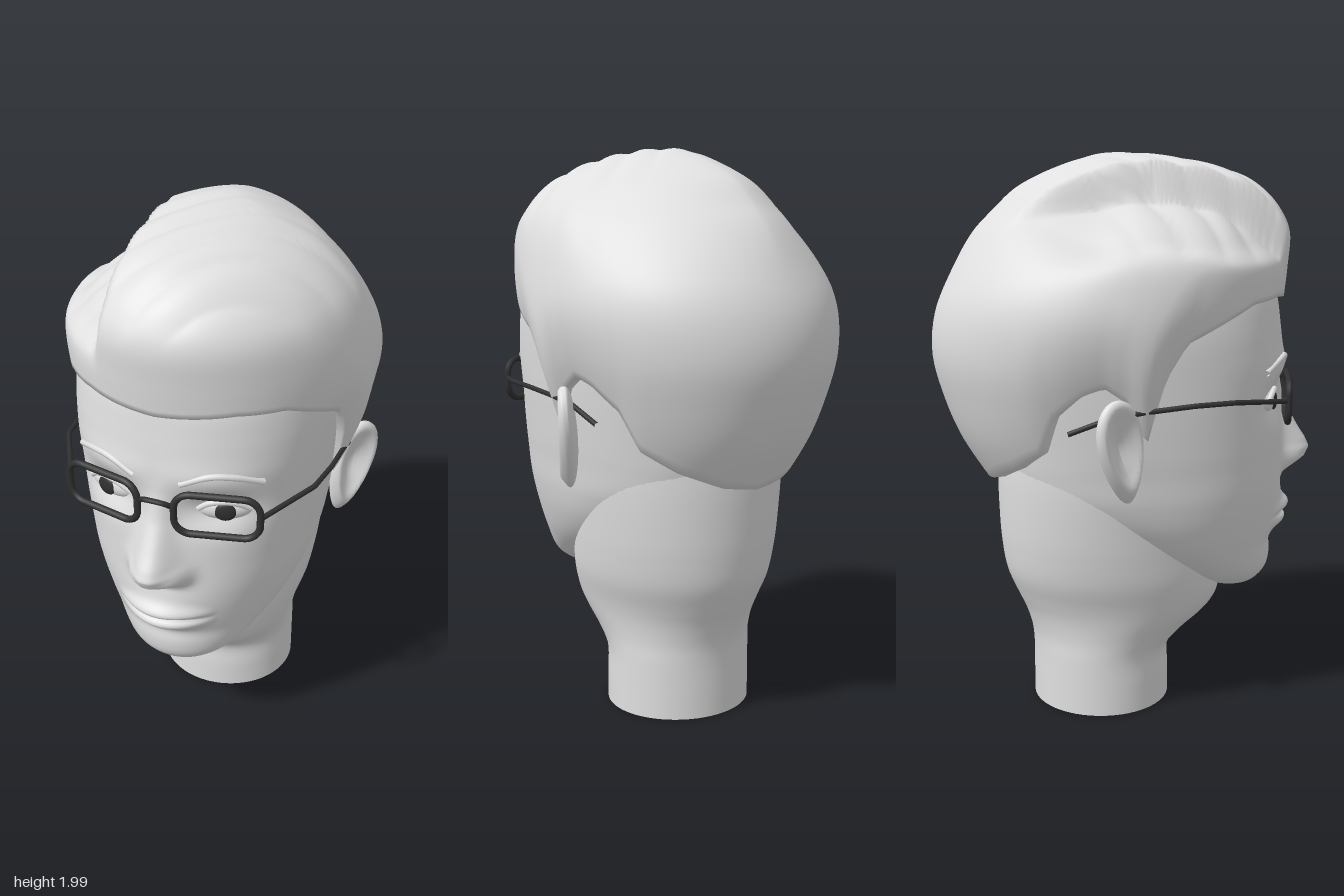
import * as THREE from 'three';

const paint = (name, color, side = THREE.FrontSide) => {
  const m = new THREE.MeshStandardMaterial({ color, side });
  m.name = name;
  return m;
};
const bell = (d, s) => Math.exp(-0.5 * (d / s) ** 2);
const smooth = THREE.MathUtils.smoothstep;
const V = (x, y, z) => new THREE.Vector3(x, y, z);

// Straight-line lookup in a table of [key, value] rows.
function lookup(table, k) {
  let i = 0;
  while (i < table.length - 2 && k > table[i + 1][0]) i++;
  const [a, b] = [table[i], table[i + 1]];
  const s = THREE.MathUtils.clamp((k - a[0]) / (b[0] - a[0]), 0, 1);
  return a[1] + (b[1] - a[1]) * s;
}

// Smooth section [y, halfWidth, frontZ, backZ] at u = 0..1 up a list of sections.
function section(rows, u) {
  const n = rows.length - 1, k = u * n, i = Math.min(Math.floor(k), n - 1), s = k - i;
  const at = (j) => rows[THREE.MathUtils.clamp(j, 0, n)];
  return rows[i].map((b, m) => {
    const a = at(i - 1)[m], c = at(i + 1)[m], d = at(i + 2)[m];
    return 0.5 * (2 * b + (c - a) * s + (2 * a - 5 * b + 4 * c - d) * s * s + (3 * b - a - 3 * c + d) * s ** 3);
  });
}

// Point on a section; angle 0 is the front, growing towards +x.
function sectionPoint([y, w, f, b], angle, power = 1, scale = 1) {
  const bend = (v) => Math.sign(v) * Math.abs(v) ** power;
  const c = (f + b) / 2;
  return V(w * bend(Math.sin(angle)) * scale, y, c + (f - c) * bend(Math.cos(angle)) * scale);
}

// Closed-around grid surface from a point rule (angle, ring).
function gridSurface(segs, rings, crowd, rule) {
  const pos = [], idx = [];
  for (let i = 0; i <= rings; i++) {
    for (let j = 0; j < segs; j++) {
      const s = (j / segs) * Math.PI * 2;
      pos.push(...rule(s - crowd * Math.sin(s), i).toArray());
      if (i === rings) continue;
      const k = (j + 1) % segs, a = i * segs + j, b = i * segs + k;
      idx.push(a, b, b + segs, a, b + segs, a + segs);
    }
  }
  const g = new THREE.BufferGeometry();
  g.setAttribute('position', new THREE.Float32BufferAttribute(pos, 3));
  g.setIndex(idx);
  g.computeVertexNormals();
  return g;
}

const HEAD = [
  [0.415, 0.01, 0.42, 0.38], [0.425, 0.1, 0.475, 0.3], [0.45, 0.155, 0.51, 0.24], [0.5, 0.225, 0.54, 0.08],
  [0.6, 0.308, 0.55, -0.16], [0.7, 0.36, 0.56, -0.33], [0.8, 0.39, 0.565, -0.42], [0.9, 0.405, 0.565, -0.45],
  [1.0, 0.42, 0.565, -0.465], [1.2, 0.443, 0.57, -0.5], [1.4, 0.455, 0.555, -0.52], [1.55, 0.43, 0.52, -0.5],
  [1.65, 0.36, 0.4, -0.42], [1.72, 0.2, 0.25, -0.25], [1.74, 0.005, 0.01, -0.01],
];
const NECK = [
  [0, 0.265, 0.16, -0.345], [0.1, 0.265, 0.16, -0.345], [0.2, 0.265, 0.16, -0.345], [0.27, 0.27, 0.22, -0.352],
  [0.345, 0.285, 0.31, -0.375], [0.41, 0.302, 0.35, -0.405], [0.5, 0.33, 0.35, -0.442], [0.6, 0.347, 0.33, -0.458],
  [0.7, 0.358, 0.31, -0.465], [0.85, 0.37, 0.29, -0.468], [1.0, 0.37, 0.25, -0.46],
];
const HAIR = [
  [0.84, 0.4, 0.5, -0.495], [1.0, 0.46, 0.53, -0.595], [1.15, 0.5, 0.55, -0.655], [1.3, 0.53, 0.56, -0.69],
  [1.45, 0.54, 0.565, -0.675], [1.6, 0.515, 0.58, -0.61], [1.72, 0.475, 0.587, -0.54], [1.8, 0.42, 0.552, -0.465],
  [1.87, 0.345, 0.485, -0.39], [1.92, 0.265, 0.4, -0.3], [1.96, 0.175, 0.26, -0.2], [1.985, 0.08, 0.09, -0.11],
  [1.992, 0, -0.03, -0.03],
];
// Hairline height by angle from the front to the nape.
const HAIRLINE = [
  [0, 1.49], [0.48, 1.505], [0.77, 1.49], [0.97, 1.44], [1.21, 1.375], [1.33, 1.26], [1.47, 1.03], [1.56, 1.18],
  [1.69, 1.235], [1.82, 1.21], [2.02, 1.13], [2.16, 1.0], [2.43, 0.93], [2.8, 0.87], [Math.PI, 0.85],
];
// Nose height above the face by y.
const NOSE = [
  [0.82, 0], [0.845, 0.02], [0.865, 0.065], [0.89, 0.11], [0.925, 0.13], [0.96, 0.115], [1.0, 0.088],
  [1.05, 0.058], [1.1, 0.032], [1.2, 0.006], [1.26, 0],
];

// Nose, lips, eye sockets and brow pushed out of the plain head.
function sculptFace(p) {
  if (p.z < 0.25) return p;
  const { y } = p, x = Math.abs(p.x);
  const noseWidth = 0.05 + 0.028 * smooth(1.1 - y, 0, 0.18);
  let dz = lookup(NOSE, y) * Math.exp(-((x / noseWidth) ** 2.5));
  dz += 0.03 * bell(x - 0.08, 0.024) * bell(y - 0.895, 0.028);
  dz += 0.024 * bell(x, 0.11) * bell(y - 0.73, 0.07);
  const mouth = Math.max(0, 1 - (x / 0.18) ** 2), lift = 0.6 + 0.4 * mouth;
  dz += mouth * 0.032 * (bell(y - 0.694 - 0.028 * lift, 0.02 * lift) + bell(y - 0.694 + 0.032 * lift, 0.022 * lift));
  dz -= mouth * 0.02 * bell(y - 0.694, 0.007);
  dz -= 0.012 * bell(x, 0.12) * bell(y - 0.6, 0.025);
  dz -= 0.05 * bell(x - 0.185, 0.085) * bell(y - 1.14, 0.05);
  dz += 0.01 * bell(x - 0.17, 0.12) * bell(y - 1.27, 0.035);
  p.z += dz;
  return p;
}

// Rounder round the chin, squarer at the cheeks and brow.
const headPoint = (a, u) => {
  const s = section(HEAD, u);
  return sculptFace(sectionPoint(s, a, 1.02 - 0.15 * smooth(s[0], 0.55, 0.9)));
};

// Parting on the right side and combed ridges on top.
function combHair(p) {
  const top = smooth(p.y, 1.55, 1.82), ahead = smooth(p.z, -0.5, -0.1);
  const side = smooth(-p.x, 0.187, 0.222) * (1 - 0.4 * smooth(-p.x, 0.4, 0.54));
  const ridge = Math.abs(Math.sin(20 * p.z + 10 * p.x + 2 * Math.sin(5 * p.x))) - 0.5;
  p.z -= 0.03 * side * top * smooth(p.z, 0.2, 0.45);
  p.y += 0.012 * ridge * smooth(p.y, 1.66, 1.84) * smooth(p.z, -0.25, 0.1) - 0.12 * side * top * ahead;
  return p;
}

function hairGeometry() {
  const rings = 60;
  return gridSurface(168, rings, 0, (angle, i) => {
    const rimY = lookup(HAIRLINE, Math.min(angle, Math.PI * 2 - angle));
    let lo = 0, hi = 1;
    for (let n = 0; n < 24; n++) {
      const mid = (lo + hi) / 2;
      if (section(HAIR, mid)[0] < rimY) lo = mid; else hi = mid;
    }
    const t = Math.max(0, i - 1) / (rings - 1), s = section(HAIR, lo + (1 - lo) * t);
    // The first ring tucks the rim in under the hair; the sides thin out towards it.
    const thin = 1 - 0.08 * Math.sin(angle) ** 4 * Math.max(0, 1 - t / 0.22) ** 2;
    // The crown slopes off more towards the back corners.
    const power = 1 + 0.25 * smooth(s[0], 1.5, 1.8) * smooth(-Math.cos(angle), 0, 0.4);
    return combHair(sectionPoint(s, angle, power, i === 0 ? thin * 0.88 : thin));
  });
}

// Dished ear facing +x or -x, narrowing to the lobe.
function earGeometry(s) {
  const g = new THREE.SphereGeometry(1, 40, 32), p = g.attributes.position;
  for (let i = 0; i < p.count; i++) {
    const x = p.getX(i), y = p.getY(i), z = p.getZ(i), r = Math.hypot(y - 0.1, z);
    let out = x * 0.034;
    if (x * s > 0) out += s * (0.014 * bell(r - 0.82, 0.12) - 0.044 * bell(r, 0.36));
    p.setXYZ(i, out, y * 0.182, z * 0.105 * (0.84 + 0.26 * y));
  }
  g.computeVertexNormals();
  return g;
}

function rimGeometry(w, h, r, thick) {
  const a = w / 2, b = h / 2, q = Math.PI / 2, s = new THREE.Shape();
  s.absarc(a - r, b - r, r, 0, q);
  s.absarc(r - a, b - r, r, q, 2 * q);
  s.absarc(r - a, r - b, r, 2 * q, 3 * q);
  s.absarc(a - r, r - b, r, 3 * q, 4 * q);
  s.closePath();
  const pts = s.getSpacedPoints(60).slice(0, 60).map((v) => V(v.x, v.y, 0));
  return new THREE.TubeGeometry(new THREE.CatmullRomCurve3(pts, true), 96, thick, 8, true);
}

const rod = (pts, r, tension = 0.5) => new THREE.TubeGeometry(
  new THREE.CatmullRomCurve3(pts.map((p) => V(...p)), false, 'catmullrom', tension), 48, r, 8);

export function createModel() {
  const model = new THREE.Group();
  model.name = 'headWithGlasses';
  const plaster = paint('plaster grey', 0xe0e0e0, THREE.DoubleSide);
  const black = paint('frame black', 0x303030);
  const add = (parent, name, geometry, material) => {
    const m = new THREE.Mesh(geometry, material);
    m.name = name;
    parent.add(m);
    return m;
  };

  add(model, 'head', gridSurface(160, 180, 0.6, (a, i) => headPoint(a, i / 180)), plaster);
  add(model, 'neck', gridSurface(64, 50, 0, (a, i) => sectionPoint(section(NECK, i / 50), a)), plaster);
  add(model, 'hair', hairGeometry(), plaster);

  const glasses = new THREE.Group();
  glasses.name = 'glasses';
  model.add(glasses);
  add(glasses, 'bridge', rod([[-0.055, 1.17, 0.578], [-0.03, 1.19, 0.597], [0.03, 1.19, 0.597], [0.055, 1.17, 0.578]], 0.009), black);

  for (const s of [1, -1]) {
    const side = s > 0 ? 'left' : 'right';
    const ear = add(model, side + 'Ear', earGeometry(s), plaster);
    ear.position.set(s * 0.472, 1.02, -0.075);
    ear.rotation.set(-0.28, -0.58 * s, -0.2 * s);

    const eye = new THREE.Group();
    eye.name = side + 'Eye';
    eye.position.set(s * 0.195, 1.14, 0.47);
    eye.rotation.y = 0.33 * s;
    model.add(eye);
    add(eye, 'eyeball', new THREE.SphereGeometry(1, 32, 24).scale(0.096, 0.046, 0.042), plaster);
    add(eye, 'iris', new THREE.SphereGeometry(1, 24, 16).scale(0.036, 0.033, 0.011), black).position.set(0.004 * s, -0.002, 0.036);
    add(eye, 'upperLid', rod([[-0.085, 0.002, 0.022], [-0.04, 0.032, 0.034], [0.03, 0.034, 0.034], [0.088, 0.002, 0.016]], 0.01), plaster);

    add(model, side + 'Eyebrow', rod([[s * 0.08, 1.255, 0.566], [s * 0.17, 1.292, 0.548], [s * 0.24, 1.288, 0.515],
      [s * 0.32, 1.25, 0.446]], 0.011), plaster);

    const rim = add(glasses, side + 'Rim', rimGeometry(0.28, 0.152, 0.055, 0.012), black);
    rim.position.set(s * 0.2, 1.15, 0.552);
    rim.rotation.y = 0.22 * s;
    add(glasses, side + 'Temple', rod([[s * 0.335, 1.155, 0.52], [s * 0.45, 1.175, 0.31], [s * 0.467, 1.17, 0.17],
      [s * 0.467, 1.155, 0.03], [s * 0.475, 1.14, -0.1], [s * 0.478, 1.088, -0.25]], 0.009, 0), black);
  }
  return model;
}
